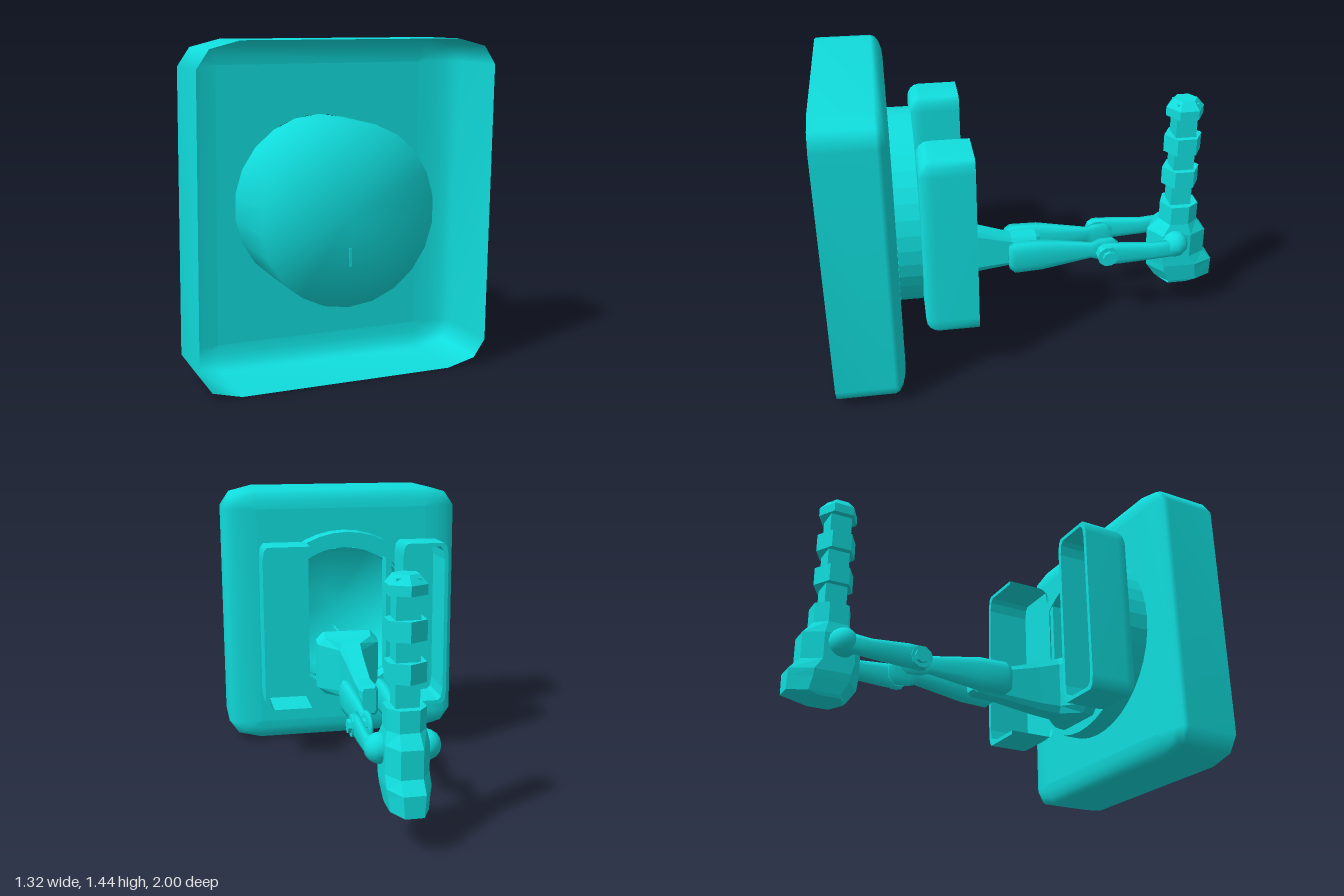
import * as THREE from 'three';

const COLOR = 0x11dddd;
const smooth = new THREE.MeshStandardMaterial({ color: COLOR, side: THREE.DoubleSide });
const faceted = new THREE.MeshStandardMaterial({ color: COLOR, side: THREE.DoubleSide, flatShading: true });

function add(parent, name, geometry, material = faceted) {
  const mesh = new THREE.Mesh(geometry, material);
  mesh.name = name;
  parent.add(mesh);
  return mesh;
}

// Skin a list of cross-sections (arrays of [x, y, z]); optionally closed around and capped
function loft(sections, closed = true, capped = true) {
  const n = sections[0].length, index = [];
  for (let i = 0; i < sections.length - 1; i++) {
    for (let j = 0; j < (closed ? n : n - 1); j++) {
      const a = i * n + j, b = i * n + (j + 1) % n;
      index.push(a, b, b + n, a, b + n, a + n);
    }
  }
  if (capped) {
    const top = (sections.length - 1) * n;
    for (let j = 1; j < n - 1; j++) {
      index.push(0, j + 1, j, top, top + j, top + j + 1);
    }
  }
  const g = new THREE.BufferGeometry();
  g.setAttribute('position', new THREE.Float32BufferAttribute(sections.flat(2), 3));
  g.setIndex(index);
  g.computeVertexNormals();
  return g;
}

// Rounded tray between zFloor and zRim; openSide leaves out the -x wall, wall adds an inner lining
function tray(group, name, { cx, cy, w, h, r, zFloor, zRim, openSide = false, hole = 0, wall = 0 }) {
  const dir = Math.sign(zRim - zFloor), steps = 4;
  const outline = (k, z, inset = 0) => {
    const ix = w / 2 - r[0] - inset, iy = h / 2 - r[1] - inset;
    const pts = [];
    const corners = openSide ? [[1, -1, 3], [1, 1, 0]] : [[1, -1, 3], [1, 1, 0], [-1, 1, 1], [-1, -1, 2]];
    for (const [sx, sy, q] of corners) {
      for (let i = 0; i <= 2; i++) {
        const a = (q + i / 2) * Math.PI / 2;
        pts.push([cx + sx * ix + k * r[0] * Math.cos(a), cy + sy * iy + k * r[1] * Math.sin(a), z]);
      }
    }
    if (openSide) {
      pts.unshift([cx - w / 2, cy - iy - k * r[1], z]);
      pts.push([cx - w / 2, cy + iy + k * r[1], z]);
    }
    return pts;
  };
  const floor = (outlinePoints, z) => {
    const shape = new THREE.Shape(outlinePoints.map(([x, y]) => new THREE.Vector2(x, y)));
    if (hole) shape.holes.push(new THREE.Path().absarc(-0.01, cy, hole, 0, Math.PI * 2, true));
    add(group, name + 'Floor', new THREE.ShapeGeometry(shape, 20), smooth).position.z = z;
  };
  const sections = [];
  for (let i = 0; i <= steps; i++) {
    const t = i / steps * Math.PI / 2;
    sections.push(outline(Math.sin(t), zFloor + dir * r[2] * (1 - Math.cos(t))));
  }
  sections.push(outline(1, zRim));
  add(group, name + 'Walls', loft(sections, !openSide, false), smooth);
  floor(sections[0], zFloor);
  if (wall) {
    const zIn = zFloor + dir * wall;
    const lining = [outline(1, zRim), outline(1, zRim, wall), outline(1, zIn, wall)];
    add(group, name + 'Lining', loft(lining, !openSide, false));
    floor(lining[2], zIn);
  }
}

// Beam along z from rows of [z, x0, x1, y0, y1] with chamfered edges
function beam(rows, bevel = 0.25) {
  return loft(rows.map(([z, x0, x1, y0, y1]) => {
    const b = bevel * (x1 - x0), c = bevel * (y1 - y0);
    return [[x0 + b, y0, z], [x1 - b, y0, z], [x1, y0 + c, z], [x1, y1 - c, z],
      [x1 - b, y1, z], [x0 + b, y1, z], [x0, y1 - c, z], [x0, y0 + c, z]];
  }));
}

export function createModel() {
  const model = new THREE.Group();
  model.name = 'trayWithArm';

  // Large tray, open to the front
  tray(model, 'mainTray', { cx: 0, cy: 0.722, w: 1.32, h: 1.44, r: [0.18, 0.11, 0.055], zFloor: 0.667, zRim: 1, hole: 0.388 });

  // Round drum closed at the front, level with the tray rim and hollow behind
  const drumProfile = [[0.39, 0], [0.39, 0.333], [0, 0.333]].map(p => new THREE.Vector2(...p));
  add(model, 'drum', new THREE.LatheGeometry(drumProfile, 22).rotateX(Math.PI / 2), smooth)
    .position.set(-0.01, 0.722, 0.667);

  // Collar behind the tray
  const collar = new THREE.Shape().absarc(0, 0, 0.48, 0, Math.PI * 2);
  collar.holes.push(new THREE.Path().absarc(0, 0, 0.4, 0, Math.PI * 2, true));
  add(model, 'collar', new THREE.ExtrudeGeometry(collar, { depth: 0.11, bevelEnabled: false, curveSegments: 20 }))
    .position.set(-0.005, 0.73, 0.556);
  for (const s of [-1, 1]) {
    add(model, 'collarStrut', new THREE.BoxGeometry(0.03, 0.66, 0.1)).position.set(s * 0.235 - 0.01, 0.73, 0.61);
  }

  // Two side brackets, open to the back
  const bracket = { cy: 0.72, w: 0.25, h: 0.9, r: [0.025, 0.07, 0.06], zFloor: 0.553, zRim: 0.3, wall: 0.02 };
  tray(model, 'leftBracket', { ...bracket, cx: 0.363, openSide: true });
  tray(model, 'rightBracket', { ...bracket, cx: -0.39 });

  // Central arm flaring out into its foot, with a thin fin through the drum
  add(model, 'mainArm', beam([
    [-0.07, -0.035, 0.035, 0.36, 0.49], [-0.05, -0.05, 0.05, 0.345, 0.5], [0.08, -0.045, 0.045, 0.34, 0.5],
    [0.3, -0.055, 0.055, 0.315, 0.57], [0.41, -0.065, 0.065, 0.31, 0.61],
    [0.5, -0.17, 0.17, 0.305, 0.63], [0.56, -0.175, 0.175, 0.3, 0.65],
  ], 0.12));
  add(model, 'fin', new THREE.BoxGeometry(0.012, 0.08, 0.443)).position.set(-0.005, 0.545, 0.781);

  // Paired linkage from the arm to the hand
  for (const s of [1, -1]) {
    const link = new THREE.Group();
    link.name = s > 0 ? 'leftLinkage' : 'rightLinkage';
    link.scale.x = s;
    model.add(link);
    add(link, 'innerLink', beam([
      [-0.475, 0.065, 0.08, 0.38, 0.45], [-0.44, 0.06, 0.09, 0.355, 0.48], [-0.37, 0.06, 0.095, 0.36, 0.475],
      [-0.33, 0.06, 0.1, 0.375, 0.46], [-0.07, 0.055, 0.125, 0.34, 0.5],
      [0.07, 0.055, 0.13, 0.335, 0.5], [0.1, 0.07, 0.12, 0.36, 0.48],
    ]), smooth);
    const pin = new THREE.CylinderGeometry(0.035, 0.035, 0.1, 8).rotateZ(Math.PI / 2);
    add(link, 'elbowPin', pin).position.set(0.13, 0.415, -0.41);
    const disc = new THREE.CylinderGeometry(0.055, 0.055, 0.05, 10).rotateZ(Math.PI / 2);
    add(link, 'elbowDisc', disc).position.set(0.138, 0.415, -0.405);
    add(link, 'outerLink', beam([
      [-0.78, 0.11, 0.16, 0.38, 0.47], [-0.65, 0.112, 0.158, 0.37, 0.46],
      [-0.47, 0.112, 0.158, 0.36, 0.475], [-0.38, 0.115, 0.155, 0.36, 0.475],
    ]), smooth);
    const ball = add(link, 'wristBall', new THREE.SphereGeometry(0.07, 12, 8), smooth);
    ball.position.set(0.105, 0.43, -0.772);
  }

  // Hand block: one outline scaled through rows of [y, zBack, zFront, halfWidth]
  const plan = [[-1, -0.4], [-1, 0.6], [0, 1], [1, 0.6], [1, -0.4], [0.5, -1], [-0.5, -1]];
  const handRows = [
    [0.17, -0.92, -0.72, 0.08], [0.185, -1, -0.705, 0.085], [0.25, -1, -0.66, 0.095], [0.285, -1, -0.655, 0.1],
    [0.34, -0.95, -0.65, 0.1], [0.47, -0.95, -0.65, 0.1], [0.53, -0.9, -0.71, 0.088], [0.63, -0.9, -0.71, 0.088],
  ];
  add(model, 'hand', loft(handRows.map(([y, z0, z1, w]) =>
    plan.map(([x, z]) => [x * w, y, (z0 + z1) / 2 + z * (z1 - z0) / 2]))));

  // Upright handle with six-sided collars
  const handle = new THREE.Group();
  handle.name = 'handle';
  handle.position.z = -0.805;
  model.add(handle);
  add(handle, 'post', new THREE.BoxGeometry(0.108, 0.58, 0.106)).position.y = 0.9;
  for (const y of [0.785, 0.967]) {
    add(handle, 'handleRing', new THREE.CylinderGeometry(0.097, 0.097, 0.09, 6)).position.y = y;
  }
  add(handle, 'capRing', new THREE.CylinderGeometry(0.097, 0.097, 0.045, 6)).position.y = 1.14;
  add(handle, 'capTop', new THREE.CylinderGeometry(0.06, 0.097, 0.042, 6)).position.y = 1.183;
  return model;
}
